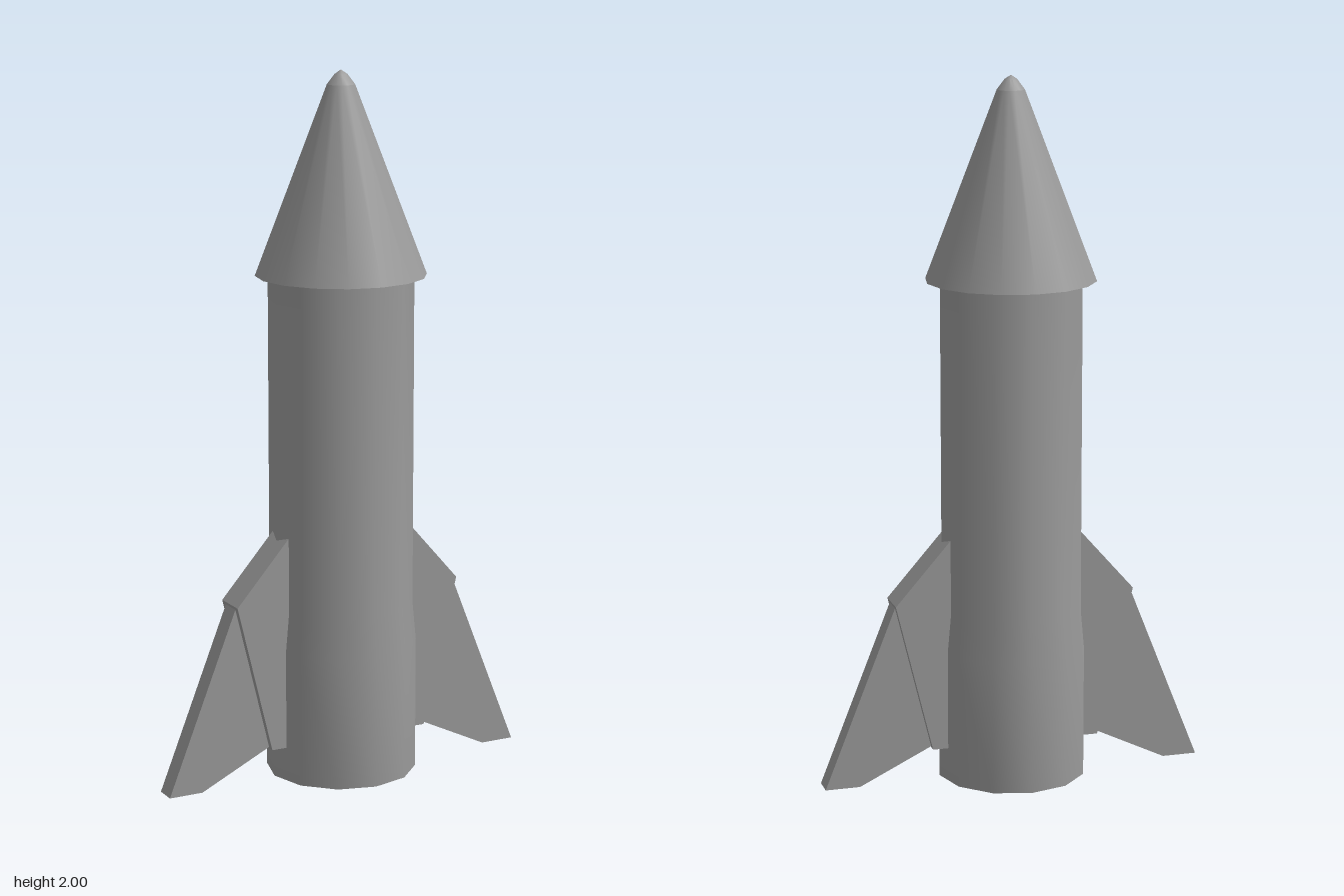
import * as THREE from 'three';
import { toCreasedNormals } from 'three/addons/utils/BufferGeometryUtils.js';

const material = new THREE.MeshStandardMaterial({ color: 0x9a9a9a });

function addMesh(parent, name, geometry) {
  const mesh = new THREE.Mesh(geometry, material);
  mesh.name = name;
  parent.add(mesh);
}

// Turned part from [radius, height] pairs, sharp at the rims
function turned(profile, sides) {
  const points = profile.map(([r, y]) => new THREE.Vector2(r, y));
  return toCreasedNormals(new THREE.LatheGeometry(points, sides), 0.6);
}

// Flat plate in the xy plane, centred on z = 0
function plate(outline, thickness) {
  const shape = new THREE.Shape(outline.map(([x, y]) => new THREE.Vector2(x, y)));
  const geometry = new THREE.ExtrudeGeometry(shape, { depth: thickness, bevelEnabled: false });
  return geometry.translate(0, 0, -thickness / 2);
}

export function createModel() {
  const rocket = new THREE.Group();
  rocket.name = 'rocket';

  // Body tube with a flared base and a shallow nozzle recess underneath
  addMesh(rocket, 'body', turned([
    [0, 0.07], [0.13, 0.07], [0.13, 0], [0.214, 0],
    [0.214, 0.38], [0.204, 0.49], [0.204, 1.435],
  ], 12));

  // Overhanging nose cone with a separate blunt tip
  addMesh(rocket, 'noseCone', turned([[0, 1.433], [0.24, 1.433], [0.039, 1.96]], 16));
  addMesh(rocket, 'noseTip', turned([[0.039, 1.96], [0.018, 1.988], [0, 2]], 16));

  // Two opposite fins: a thick root and a thinner swept blade
  const root = plate([[0.15, 0.097], [0.245, 0.097], [0.35, 0.528], [0.15, 0.755]], 0.1);
  const blade = plate([[0.24, 0.104], [0.455, 0], [0.555, 0], [0.347, 0.522], [0.3, 0.4]], 0.062);
  for (const [name, turn] of [['leftFin', 0], ['rightFin', Math.PI]]) {
    const fin = new THREE.Group();
    fin.name = name;
    fin.rotation.y = turn;
    addMesh(fin, 'finRoot', root);
    addMesh(fin, 'finBlade', blade);
    rocket.add(fin);
  }

  return rocket;
}
